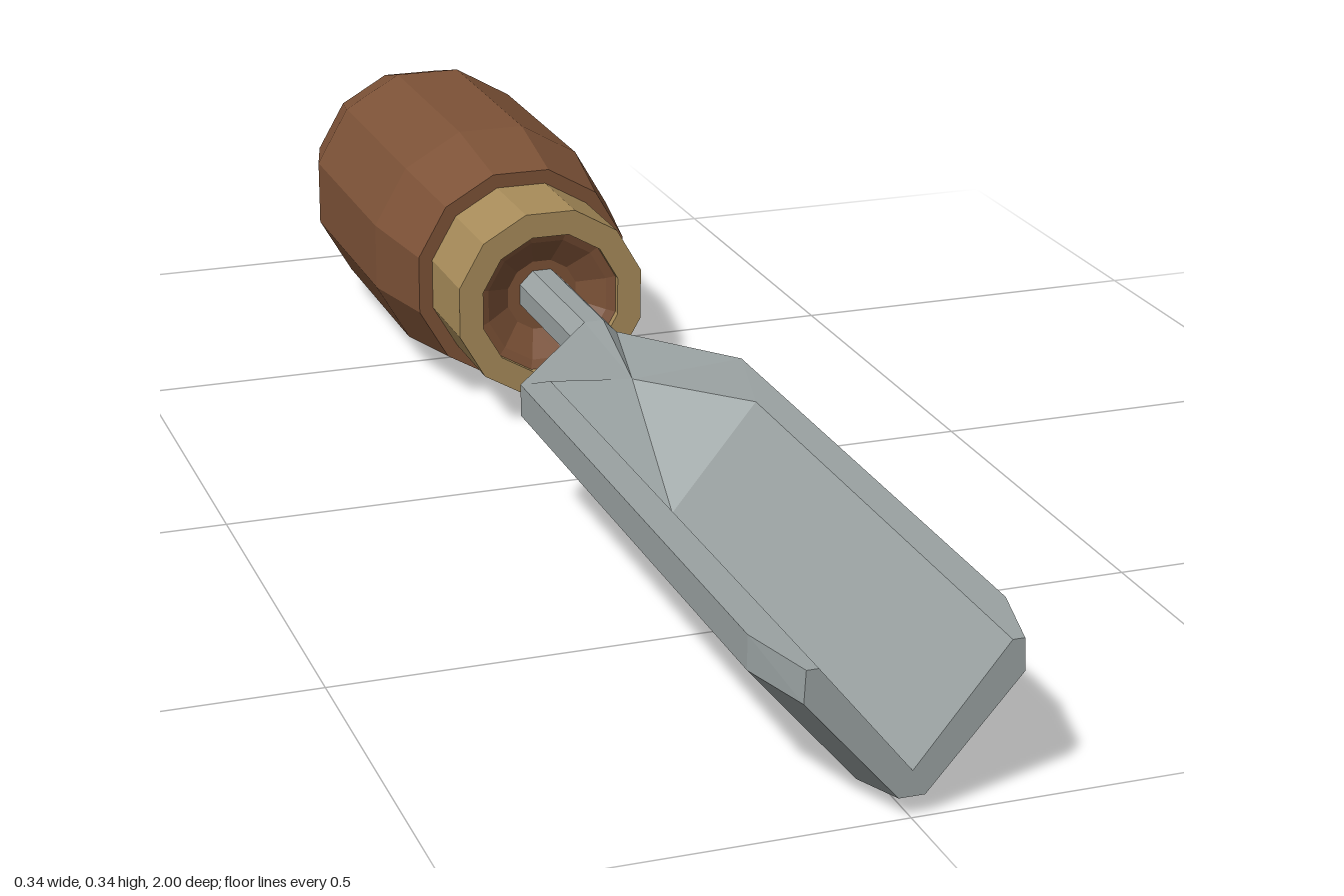
import * as THREE from 'three';

const AXIS_Y = 0.17;

const paint = (color) =>
  new THREE.MeshStandardMaterial({ color, flatShading: true, side: THREE.DoubleSide });

// Twelve-sided turned part lying along z; profile is [radius to flat, z].
function turned(name, profile, material) {
  const k = 1 / Math.cos(Math.PI / 12);
  const points = profile.map(([r, z]) => new THREE.Vector2(r * k, z));
  const geometry = new THREE.LatheGeometry(points, 12, Math.PI / 12);
  geometry.rotateX(Math.PI / 2).translate(0, AXIS_Y, 0);
  const mesh = new THREE.Mesh(geometry, material);
  mesh.name = name;
  return mesh;
}

// Flat-faced mesh from convex polygons, each split into a fan.
function faceted(name, polygons, material) {
  const positions = [];
  for (const p of polygons) {
    for (let i = 1; i < p.length - 1; i++) positions.push(...p[0], ...p[i], ...p[i + 1]);
  }
  const geometry = new THREE.BufferGeometry();
  geometry.setAttribute('position', new THREE.Float32BufferAttribute(positions, 3));
  geometry.computeVertexNormals();
  const mesh = new THREE.Mesh(geometry, material);
  mesh.name = name;
  return mesh;
}

// Section from its left half (top to bottom), mirrored to the right.
const section = (half, z) => [
  ...half.map(([x, y]) => [-x, y, z]),
  ...half.slice().reverse().map(([x, y]) => [x, y, z]),
];

// Quads joining a back section to a front section.
function loft(back, front, closed) {
  const n = back.length;
  const quads = [];
  for (let i = 0; i < (closed ? n : n - 1); i++) {
    const j = (i + 1) % n;
    quads.push([back[i], back[j], front[j], front[i]]);
  }
  return quads;
}

export function createModel() {
  const group = new THREE.Group();
  const wood = paint(0x7d5237);
  const brass = paint(0xa88c5a);
  const steel = paint(0x9aa2a2);

  // Handle with a recessed front inside the ferrule
  group.add(turned('handle', [
    [0, -1], [0.105, -1], [0.143, -0.9], [0.17, -0.8], [0.17, -0.48], [0.147, -0.34],
    [0.095, -0.34], [0.095, -0.22], [0.083, -0.225], [0.048, -0.25], [0, -0.25],
  ], wood));
  group.add(turned('ferrule', [
    [0.095, -0.34], [0.128, -0.34], [0.128, -0.21], [0.095, -0.21], [0.095, -0.34],
  ], brass));

  // Eight-sided shank
  const octagon = [[0.013, 0.205], [0.031, 0.187], [0.031, 0.159], [0.013, 0.141]];
  const shankEnd = section(octagon, -0.03);
  group.add(faceted('shank', loft(section(octagon, -0.27), shankEnd, true), steel));

  // Blade: outer sections, and the corners of the V groove
  const outer = [[0.147, 0.188], [0.147, 0.147], [0.02, 0]];
  const heel = section(outer, 0.12);
  const shoulder = section(outer, 0.9);
  const tip = section([[0.122, 0.188], [0.124, 0.15], [0.015, 0.025]], 1);
  const ridge = [0, 0.178, 0.12];
  const leftBack = [-0.108, 0.188, 0.12];
  const rightBack = [0.108, 0.188, 0.27];
  const grooveBack = [0, 0.055, 0.27];
  const leftTip = [-0.108, 0.188, 1];
  const rightTip = [0.108, 0.188, 1];
  const grooveTip = [0, 0.055, 1];

  // Neck spreads from the shank to the heel of the blade
  group.add(faceted('neck', loft(shankEnd, [ridge, ...heel, ridge], true), steel));

  group.add(faceted('blade', [
    ...loft(heel, shoulder, false),
    ...loft(shoulder, tip, false),
    // rims
    [leftBack, heel[0], shoulder[0], tip[0], leftTip],
    [rightBack, rightTip, tip[5], shoulder[5], heel[5]],
    [heel[0], ridge, leftBack],
    [ridge, rightBack, heel[5]],
    // groove walls and back
    [leftBack, leftTip, grooveTip, grooveBack],
    [grooveBack, grooveTip, rightTip, rightBack],
    [leftBack, grooveBack, ridge],
    [grooveBack, rightBack, ridge],
    // front end
    [tip[0], tip[1], grooveTip, leftTip],
    [grooveTip, tip[1], tip[2], tip[3], tip[4]],
    [tip[4], tip[5], rightTip, grooveTip],
  ], steel));

  return group;
}
